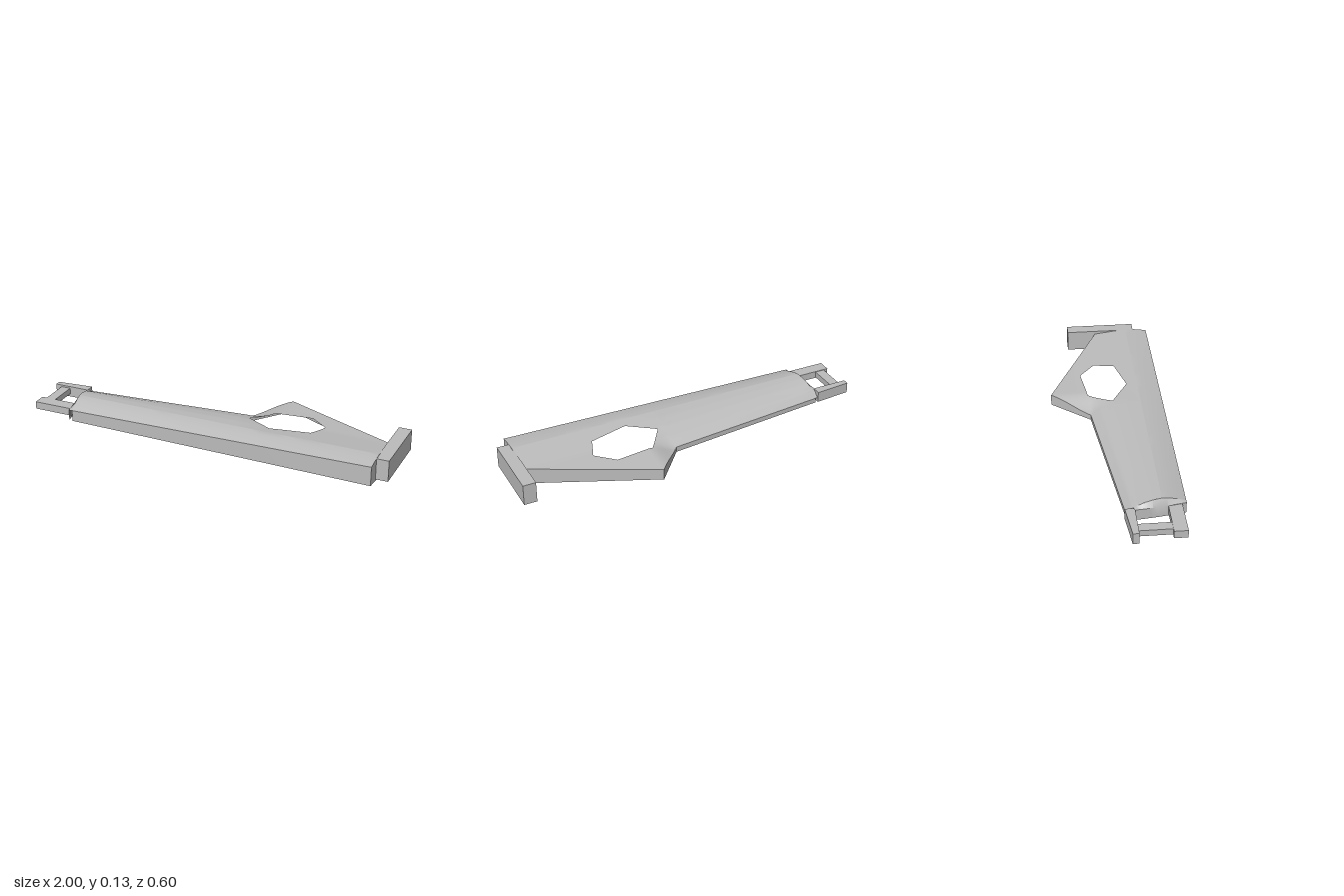
import * as THREE from 'three';
import { toCreasedNormals } from 'three/addons/utils/BufferGeometryUtils.js';

const RIDGE = 0.177, FRONT = 0.3, NECK = 0.12, END = 0.935;
const lerp = THREE.MathUtils.lerp;
const steps = (n) => Array.from({ length: n + 1 }, (_, i) => i / n);

// Piecewise linear lookup through [position, value] pairs
function table(pairs, v) {
  for (let i = 1; i < pairs.length; i++) {
    const [a, ya] = pairs[i - 1], [b, yb] = pairs[i];
    if (v <= b) return lerp(ya, yb, THREE.MathUtils.clamp((v - a) / (b - a), 0, 1));
  }
  return pairs[pairs.length - 1][1];
}

const backZ = (x) => table([[-0.81, 0], [NECK, -0.095]], x);
const endX = (z) => -0.81 + 0.04 * Math.pow(Math.max(z, 0) / FRONT, 1.5);
const frontBottom = (x) => table([[-0.8, 0.035], [END, 0.013]], x);

// Crown height: rounded over the back on the slim part, flatter on the wide part
function height(x, z) {
  if (z > RIDGE) {
    const edge = table([[-0.8, 0.095], [END, 0.118]], x);
    const t = (z - RIDGE) / (FRONT - RIDGE);
    return lerp(0.132, edge, Math.pow(t, 1.4));
  }
  const t = (RIDGE - z) / (RIDGE - backZ(x));
  const slim = table([[0, 0.132], [0.25, 0.128], [0.5, 0.118], [0.8, 0.095], [1, 0.06]], t);
  const wide = table([[-0.3, 0.094], [-0.16, 0.101], [0, 0.11], [0.1, 0.123], [RIDGE, 0.132]], z);
  return lerp(slim, wide, THREE.MathUtils.smoothstep(x, NECK, 0.29));
}

// Adds a grid of points as triangles that all face towards dir
function addGrid(out, rows, dir) {
  const n = new THREE.Vector3(), e = new THREE.Vector3();
  const tri = (a, b, c) => {
    n.subVectors(b, a).cross(e.subVectors(c, a));
    if (n.lengthSq() < 1e-16) return;
    for (const p of n.dot(dir) < 0 ? [a, c, b] : [a, b, c]) out.push(p.x, p.y, p.z);
  };
  for (let i = 1; i < rows.length; i++) {
    for (let j = 1; j < rows[i].length; j++) {
      tri(rows[i - 1][j - 1], rows[i][j - 1], rows[i][j]);
      tri(rows[i - 1][j - 1], rows[i][j], rows[i - 1][j]);
    }
  }
}

// Distance from a centre along an angle to a closed outline
function reach(poly, c, angle) {
  const dx = Math.cos(angle), dz = Math.sin(angle);
  let best = 0;
  poly.forEach(([ax, az], i) => {
    const [bx, bz] = poly[(i + 1) % poly.length];
    const ex = bx - ax, ez = bz - az, det = ex * dz - ez * dx;
    if (Math.abs(det) < 1e-9) return;
    const px = ax - c[0], pz = az - c[1];
    const r = (ex * pz - ez * px) / det, s = (dx * pz - dz * px) / det;
    if (r > 0 && s > -1e-6 && s < 1 + 1e-6) best = Math.max(best, r);
  });
  return best;
}

function shellGeometry() {
  const out = [];
  const V = (x, y, z) => new THREE.Vector3(x, y, z);
  const up = V(0, 1, 0);
  const top = (x, z) => V(x, height(x, z), z);

  // Front strip of the crown and slim half behind the ridge
  const startX = (z) => endX(z) + 0.02;
  addGrid(out, steps(24).map((u) => steps(4).map((t) => {
    const z = lerp(RIDGE, FRONT, t);
    return top(lerp(startX(z), END, u), z);
  })), up);
  addGrid(out, steps(16).map((u) => steps(20).map((t) => {
    const z = lerp(RIDGE, lerp(0, -0.095, u), t);
    return top(lerp(startX(z), NECK, u), z);
  })), up);

  // Wide part, spread from the six-sided opening to its outline
  const hole = [[0.17, 0.03], [0.26, -0.1], [0.47, -0.125], [0.57, -0.04], [0.53, 0.07], [0.32, 0.12]];
  const rim = [[NECK, -0.095], [0.29, -0.3], [END, 0], [END, RIDGE], [NECK, RIDGE]];
  const c = [0.36, 0];
  const angles = [...hole, ...rim].map(([x, z]) => Math.atan2(z - c[1], x - c[0]));
  for (let i = 0; i < 72; i++) angles.push(-Math.PI + (i * Math.PI) / 36);
  angles.sort((a, b) => a - b);
  angles.push(angles[0] + Math.PI * 2);
  addGrid(out, angles.map((a) => {
    const r0 = reach(hole, c, a), r1 = reach(rim, c, a);
    return steps(10).map((t) => {
      const r = lerp(r0, r1, t);
      return top(c[0] + Math.cos(a) * r, c[1] + Math.sin(a) * r);
    });
  }), up);

  // Front wall
  addGrid(out, steps(24).map((u) => {
    const x = lerp(startX(FRONT), END, u);
    return [top(x, FRONT), V(x, frontBottom(x), FRONT)];
  }), V(0, 0, 1));

  // Back wall along the three straight edges: x, z, bottom height
  const edge = [[-0.79, 0, 0.035], [NECK, -0.095, 0.03], [0.29, -0.3, 0.034], [END, 0, 0.022]];
  for (let i = 1; i < edge.length; i++) {
    const [a, b] = [edge[i - 1], edge[i]];
    addGrid(out, steps(16).map((u) => {
      const [x, z, y] = a.map((v, k) => lerp(v, b[k], u));
      return [top(x, z), V(x, y, z)];
    }), V(0, 0, -1));
  }

  // Slanted narrow end
  addGrid(out, steps(16).map((t) => {
    const z = lerp(0, FRONT, t), p = top(startX(z), z);
    return [p, V(endX(z), Math.min(p.y, 0.095), z), V(endX(z), 0.036, z)];
  }), V(-1, 0, 0));

  // Wide end, with a small lip under the ridge
  const wideEnd = (z0, z1, y0, y1) => addGrid(out, steps(8).map((t) => {
    const z = lerp(z0, z1, t);
    return [top(END, z), V(END, lerp(y0, y1, t), z)];
  }), V(1, 0, 0));
  wideEnd(0, RIDGE, 0.022, 0.013);
  wideEnd(RIDGE, FRONT, 0, 0.013);

  const geo = new THREE.BufferGeometry();
  geo.setAttribute('position', new THREE.Float32BufferAttribute(out, 3));
  return toCreasedNormals(geo, 0.55);
}

// Upright block from an outline in x and z
function slab(outline, y0, y1) {
  const shape = new THREE.Shape(outline.map(([x, z]) => new THREE.Vector2(x, -z)));
  const geo = new THREE.ExtrudeGeometry(shape, { depth: y1 - y0, bevelEnabled: false });
  return geo.rotateX(-Math.PI / 2).translate(0, y0, 0);
}
const rect = (x0, x1, z0, z1) => [[x0, z0], [x0, z1], [x1, z1], [x1, z0]];

export function createModel() {
  const group = new THREE.Group();
  const grey = new THREE.MeshStandardMaterial({ color: 0xbcbcbc, side: THREE.DoubleSide });
  grey.name = 'plain grey';
  const add = (name, geo) => {
    const mesh = new THREE.Mesh(geo, grey);
    mesh.name = name;
    group.add(mesh);
  };

  add('bodyShell', shellGeometry());
  add('endPlate', slab(rect(0.93, 1, -0.163, 0.222), 0.013, 0.128));
  // Open bracket at the narrow end
  add('backRail', slab([[-1, 0.01], [-1, 0.042], [-0.8, 0.042], [-0.8, -0.008]], 0.04, 0.1));
  add('frontRail', slab(rect(-0.99, -0.77, 0.208, 0.278), 0.052, 0.093));
  add('crossBar', slab(rect(-0.966, -0.912, 0.04, 0.21), 0.057, 0.09));
  return group;
}
